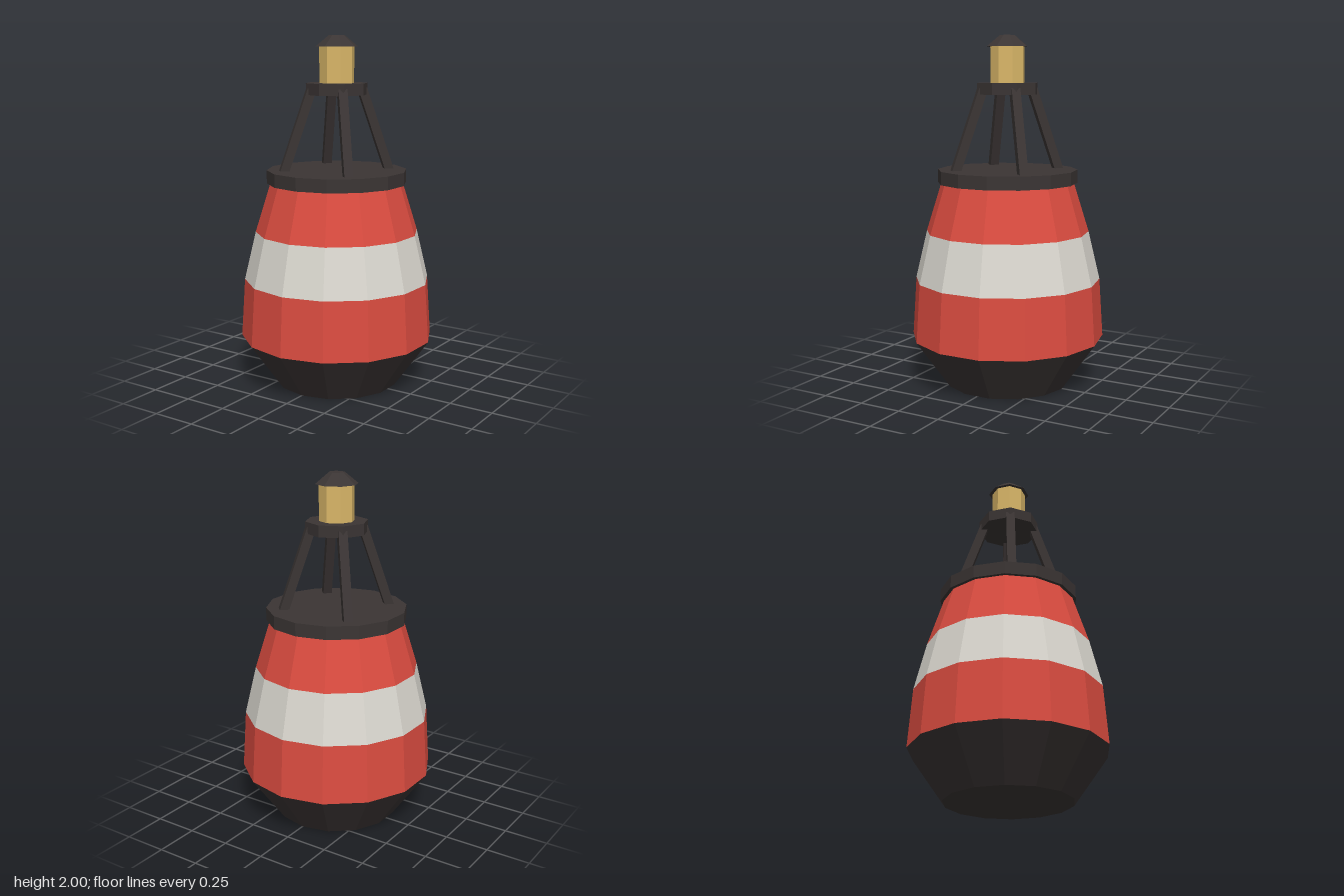
import * as THREE from 'three';

function material(name, color) {
  const m = new THREE.MeshStandardMaterial({ color, flatShading: true });
  m.name = name;
  return m;
}

export function createModel() {
  const red = material('red paint', 0xdb4c40);
  const white = material('white paint', 0xdad7cf);
  const dark = material('dark iron', 0x3b3534);
  const amber = material('amber lamp', 0xdbb869);

  const buoy = new THREE.Group();
  buoy.name = 'buoy';

  // Faceted ring or drum between two heights
  function drum(name, mat, sides, y0, r0, y1, r1, open = false) {
    const geo = new THREE.CylinderGeometry(r1, r0, y1 - y0, sides, 1, open);
    const mesh = new THREE.Mesh(geo, mat);
    mesh.name = name;
    mesh.position.y = (y0 + y1) / 2;
    buoy.add(mesh);
  }

  // Float body, banded in colour
  drum('hullBase', dark, 14, 0, 0.357, 0.278, 0.555);
  drum('lowerRedBand', red, 14, 0.278, 0.555, 0.613, 0.533, true);
  drum('whiteBand', white, 14, 0.613, 0.533, 0.89, 0.467, true);
  drum('upperRedBand', red, 14, 0.89, 0.467, 1.17, 0.38, true);
  drum('deck', dark, 14, 1.17, 0.4, 1.245, 0.4);

  // Lantern on its platform
  drum('platform', dark, 8, 1.67, 0.177, 1.735, 0.177);
  drum('lantern', amber, 8, 1.735, 0.1, 1.94, 0.1);
  drum('lanternRoof', dark, 8, 1.937, 0.121, 2, 0.044);

  // Four legs leaning inward on the diagonals
  const foot = new THREE.Vector2(0.314, 1.21);
  const head = new THREE.Vector2(0.146, 1.7);
  const legGeo = new THREE.BoxGeometry(0.05, foot.distanceTo(head), 0.05);
  const lean = Math.atan2(foot.x - head.x, head.y - foot.y);
  for (let i = 0; i < 4; i++) {
    const pivot = new THREE.Group();
    pivot.name = 'leg' + (i + 1);
    pivot.rotation.y = Math.PI / 4 + i * Math.PI / 2;
    const leg = new THREE.Mesh(legGeo, dark);
    leg.name = 'legBar';
    leg.position.set((foot.x + head.x) / 2, (foot.y + head.y) / 2, 0);
    leg.rotation.z = lean;
    pivot.add(leg);
    buoy.add(pivot);
  }

  return buoy;
}
